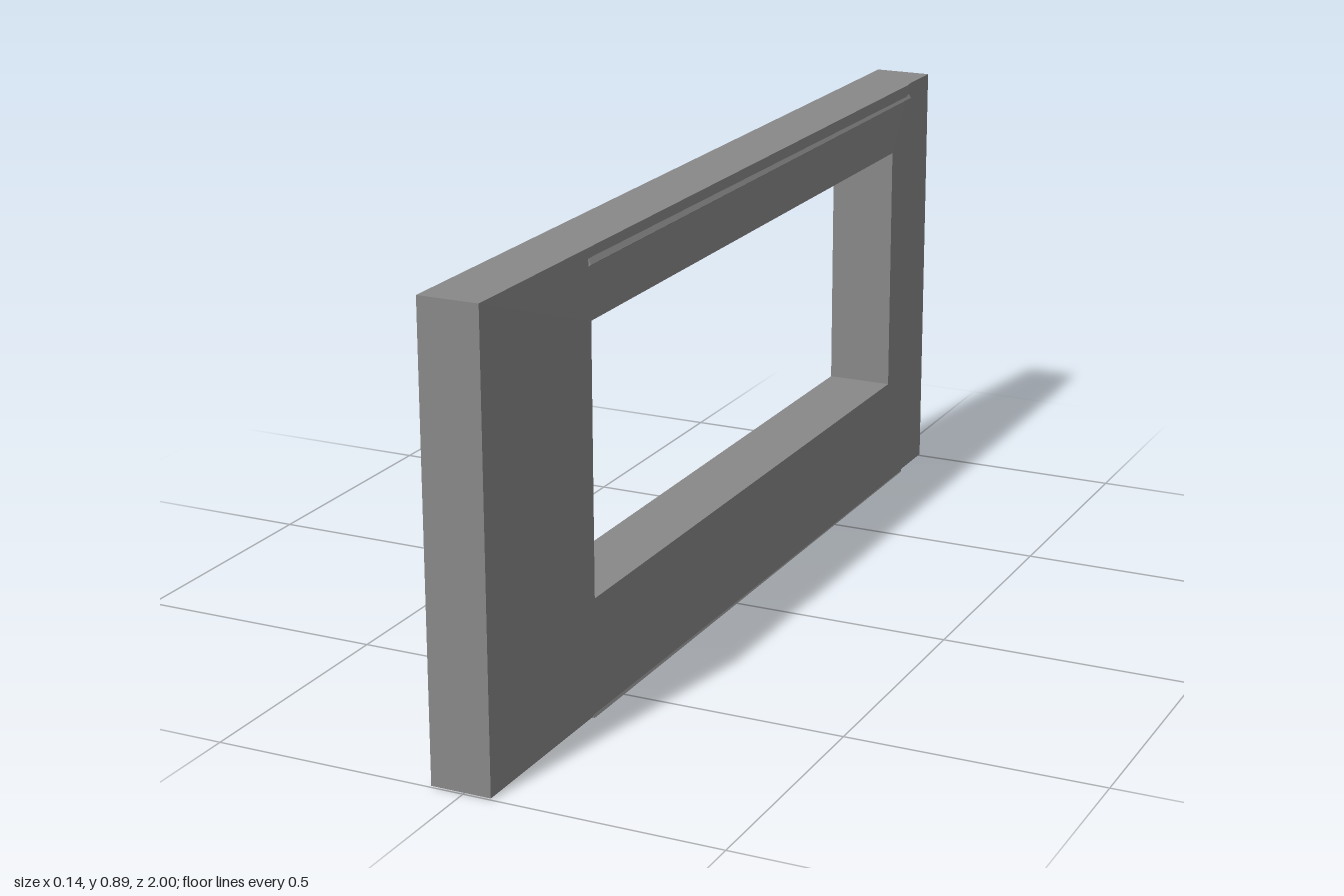
import * as THREE from 'three';

const material = new THREE.MeshStandardMaterial({ color: 0x888888, flatShading: true });

// Upright rectangle as four corners: x at its z0 edge, xFront at its z1 edge
const ring = (x, z0, z1, y0, y1, xFront = x) =>
  [[x, y0, z0], [xFront, y0, z1], [xFront, y1, z1], [x, y1, z0]];

// Closed skin joining each ring to the next, and the last to the first
function loftRings(rings) {
  const pos = [];
  rings.forEach((a, r) => {
    const b = rings[(r + 1) % rings.length];
    for (let i = 0; i < 4; i++) {
      const j = (i + 1) % 4;
      pos.push(...a[i], ...b[i], ...b[j], ...a[i], ...b[j], ...a[j]);
    }
  });
  const geometry = new THREE.BufferGeometry();
  geometry.setAttribute('position', new THREE.Float32BufferAttribute(pos, 3));
  geometry.computeVertexNormals();
  return geometry;
}

export function createModel() {
  const group = new THREE.Group();
  const bottom = 0.003, top = 0.887;
  // The opening is rebated only along its front jamb and its head
  const opening = (x, rebate) => ring(x, -0.768, 0.625 + rebate, 0.24, 0.755 + rebate);

  // Wall panel: both faces swell gently towards the window opening
  const wall = new THREE.Mesh(loftRings([
    ring(0.055, -1, 1, bottom, top),
    ring(0.055, -0.88, 1, bottom, top),
    ring(0.058, -0.88, 1, bottom, top, 0.055),
    opening(0.067, 0.005),
    opening(0.05, 0.005),
    opening(0.05, 0),
    opening(-0.06, 0),
    opening(-0.06, 0.004),
    opening(-0.069, 0.004),
    ring(-0.063, -1, 1, bottom, top),
  ]), material);
  wall.name = 'wallPanel';
  group.add(wall);

  // Thin wedge-shaped trims above and below the opening on the left face
  const trims = {
    upperTrim: [[0.055, 0.852], [0.063, 0.858], [0.055, 0.872]],
    lowerTrim: [[0.05, 0], [0.058, 0], [0.055, 0.008]],
  };
  for (const [name, corners] of Object.entries(trims)) {
    const profile = new THREE.Shape(corners.map(([x, y]) => new THREE.Vector2(x, y)));
    const geometry = new THREE.ExtrudeGeometry(profile, { depth: 1.5, bevelEnabled: false });
    const trim = new THREE.Mesh(geometry, material);
    trim.name = name;
    trim.position.z = -0.88;
    group.add(trim);
  }
  return group;
}
